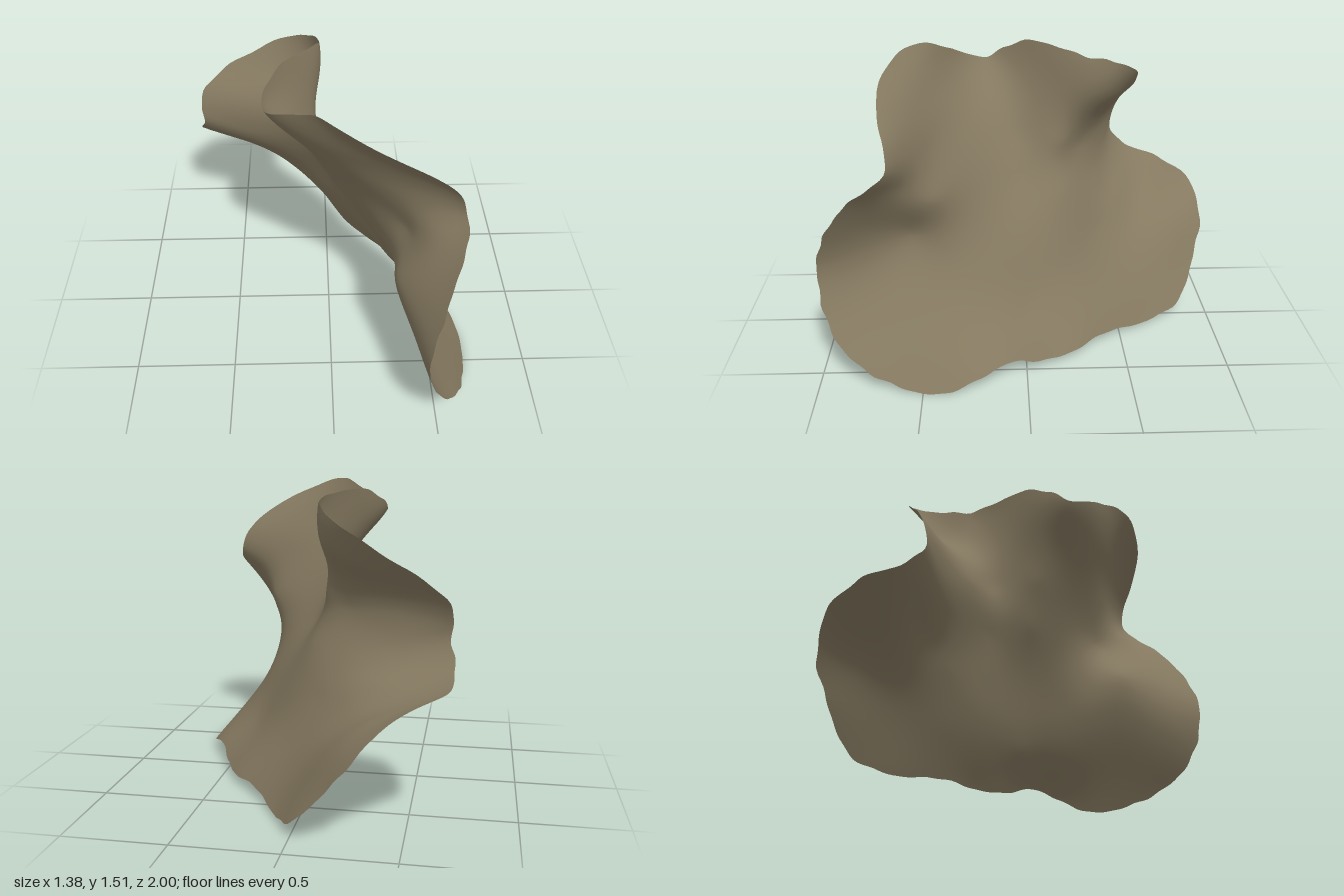
import * as THREE from 'three';

// Rim of the curled sheet as [z, y, x], walked once around
const rim = [
  [0.45, 1.51, -0.08], [0.57, 1.515, 0.03], [0.65, 1.45, 0.2], [0.67, 1.35, 0.4], [0.63, 1.21, 0.55],
  [0.63, 1.1, 0.59], [0.8, 0.95, 0.55], [0.94, 0.75, 0.47], [1, 0.55, 0.42], [0.95, 0.27, 0.5],
  [0.8, 0.12, 0.61], [0.45, 0.01, 0.69], [0.22, 0.07, 0.65], [0.1, 0.1, 0.58], [-0.1, 0.05, 0.48],
  [-0.25, 0.05, 0.4], [-0.4, 0.06, 0.27], [-0.65, 0.03, 0.11], [-0.85, 0.09, -0.01], [-0.95, 0.28, -0.18],
  [-1, 0.45, -0.31], [-0.95, 0.62, -0.48], [-0.8, 0.68, -0.66], [-0.61, 0.75, -0.695], [-0.52, 0.87, -0.68],
  [-0.57, 1.05, -0.65], [-0.62, 1.18, -0.48], [-0.58, 1.33, -0.22], [-0.42, 1.42, -0.07], [-0.3, 1.45, -0.04],
  [-0.18, 1.48, -0.1], [-0.04, 1.49, -0.21], [0.08, 1.44, -0.29], [0.18, 1.38, -0.31], [0.3, 1.42, -0.25],
];

// Points inside the sheet that set its folds, same order
const folds = [
  [0.8, 0.7, 0.4], [0.8, 0.45, 0.395], [0.75, 0.25, 0.51],
  [0.6, 0.98, 0.47], [0.55, 0.67, 0.3], [0.55, 0.42, 0.39], [0.55, 0.2, 0.55],
  [0.45, 1.3, 0.08], [0.45, 1.1, 0.27], [0.43, 0.87, 0.35], [0.38, 0.62, 0.31],
  [0.2, 1.2, -0.14], [0.2, 1, 0.03], [0.2, 0.75, 0.19], [0.2, 0.5, 0.31], [0.2, 0.25, 0.47],
  [0.08, 1.25, -0.2], [0.04, 1.03, -0.08], [0.02, 0.82, 0.03], [0, 0.5, 0.22], [0, 0.25, 0.36],
  [-0.2, 1.2, -0.06], [-0.2, 1, -0.06], [-0.2, 0.75, 0.01], [-0.2, 0.5, 0.12], [-0.2, 0.25, 0.26],
  [-0.3, 0.95, -0.18], [-0.4, 1.2, -0.11], [-0.4, 0.92, -0.34], [-0.48, 0.88, -0.54], [-0.5, 1.17, -0.26],
  [-0.4, 0.73, -0.22], [-0.4, 0.52, -0.06], [-0.4, 0.28, 0.1], [-0.55, 0.65, -0.35], [-0.6, 0.5, -0.21],
  [-0.6, 0.28, -0.02], [-0.8, 0.55, -0.34], [-0.8, 0.33, -0.13],
];

// Thin-plate spline giving x for any (z, y)
function thinPlate(points) {
  const n = points.length, size = n + 3;
  const kernel = (dz, dy) => {
    const d = dz * dz + dy * dy;
    return d > 1e-12 ? d * Math.log(d) : 0;
  };
  const rows = [];
  for (let i = 0; i < size; i++) {
    const row = new Array(size + 1).fill(0);
    if (i < n) {
      const [z, y, x] = points[i];
      for (let j = 0; j < n; j++) row[j] = kernel(z - points[j][0], y - points[j][1]);
      row[i] += 0.001;
      row[n] = 1; row[n + 1] = z; row[n + 2] = y; row[size] = x;
    } else {
      for (let j = 0; j < n; j++) row[j] = i === n ? 1 : points[j][i - n - 1];
    }
    rows.push(row);
  }
  // Gauss-Jordan elimination
  for (let c = 0; c < size; c++) {
    let p = c;
    for (let r = c + 1; r < size; r++) if (Math.abs(rows[r][c]) > Math.abs(rows[p][c])) p = r;
    [rows[c], rows[p]] = [rows[p], rows[c]];
    for (let r = 0; r < size; r++) {
      if (r === c) continue;
      const k = rows[r][c] / rows[c][c];
      if (k !== 0) for (let j = c; j <= size; j++) rows[r][j] -= k * rows[c][j];
    }
  }
  const w = rows.map((row, i) => row[size] / row[i]);
  return (z, y) => points.reduce(
    (sum, p, i) => sum + w[i] * kernel(z - p[0], y - p[1]),
    w[n] + w[n + 1] * z + w[n + 2] * y);
}

// Rings shrinking from the rim to a centre point, lifted onto the spline
function sheetGeometry() {
  const around = 260, rings = 44, cz = 0, cy = 0.65;
  const depth = thinPlate([...rim, ...folds]);
  const outline = new THREE.CatmullRomCurve3(
    rim.map(([z, y]) => new THREE.Vector3(0, y, z)), true, 'centripetal');
  const edge = outline.getSpacedPoints(around).slice(0, around);
  const positions = [depth(cz, cy), cy, cz], index = [];
  for (let r = 1; r <= rings; r++) {
    const t = r / rings;
    edge.forEach((p, i) => {
      const a = (i / around) * Math.PI * 2;
      // slight raggedness that fades towards the middle
      const s = t * (1 + 0.003 * t ** 6 * (Math.sin(a * 31) + Math.sin(a * 47 + 1)));
      const z = cz + (p.z - cz) * s, y = Math.max(0, cy + (p.y - cy) * s);
      positions.push(depth(z, y), y, z);
    });
  }
  const at = (r, i) => 1 + (r - 1) * around + (i % around);
  for (let i = 0; i < around; i++) {
    index.push(0, at(1, i), at(1, i + 1));
    for (let r = 1; r < rings; r++) {
      const a = at(r, i), b = at(r, i + 1), c = at(r + 1, i), d = at(r + 1, i + 1);
      index.push(a, c, d, a, d, b);
    }
  }
  const geometry = new THREE.BufferGeometry();
  geometry.setAttribute('position', new THREE.Float32BufferAttribute(positions, 3));
  geometry.setIndex(index);
  geometry.computeVertexNormals();
  return geometry;
}

export function createModel() {
  const group = new THREE.Group();
  group.name = 'curledSheet';
  const material = new THREE.MeshStandardMaterial({ color: 0x857960, side: THREE.DoubleSide });
  material.name = 'driedOlive';
  const sheet = new THREE.Mesh(sheetGeometry(), material);
  sheet.name = 'sheet';
  group.add(sheet);
  return group;
}
